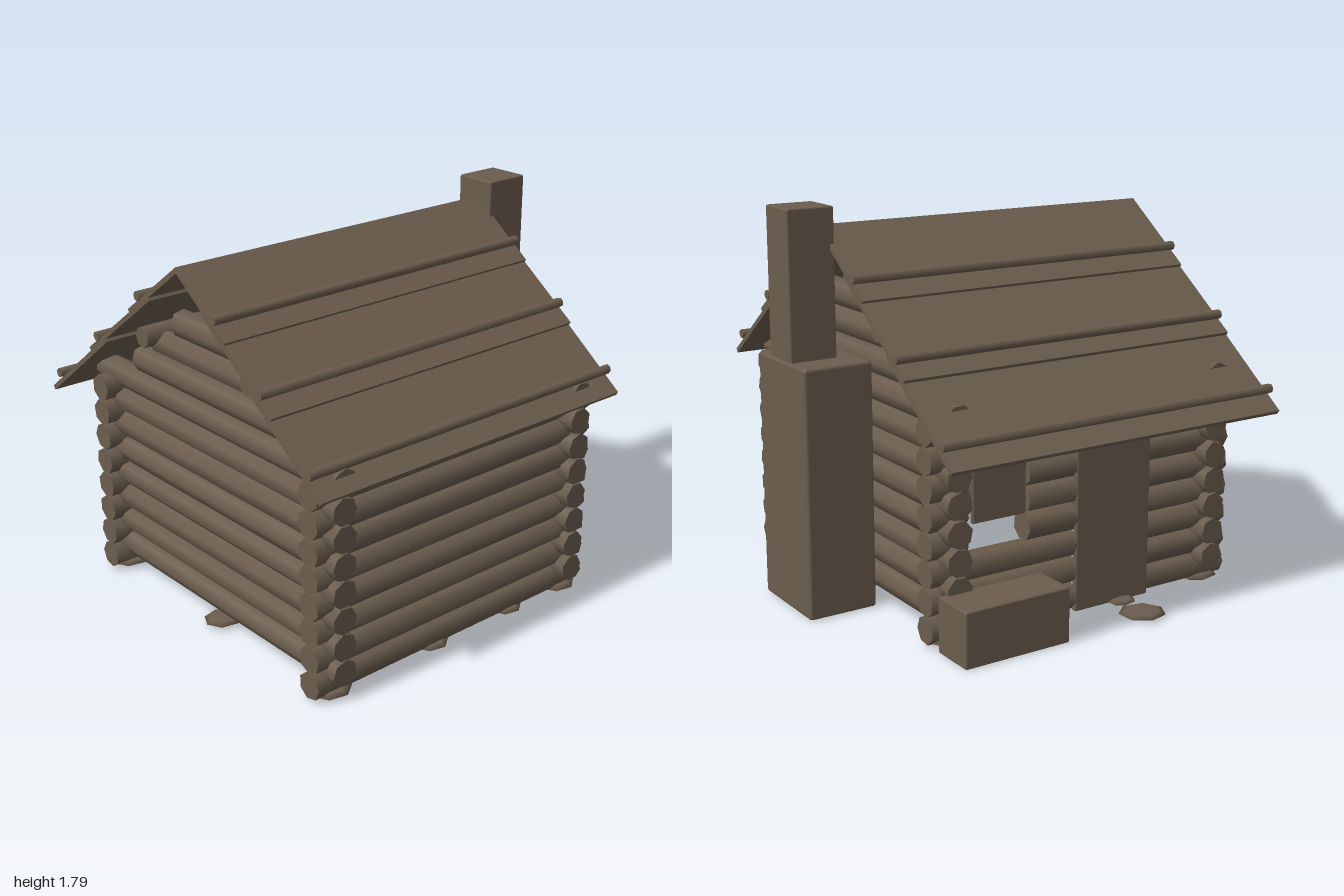
import * as THREE from 'three';
import { RoundedBoxGeometry } from 'three/addons/geometries/RoundedBoxGeometry.js';

export function createModel() {
  const model = new THREE.Group();
  const wood = new THREE.MeshStandardMaterial({ color: 0x6b5d4e });
  wood.name = 'weathered brown';

  const add = (name, geometry, x, y, z, parent = model) => {
    const mesh = new THREE.Mesh(geometry, wood);
    mesh.name = name;
    mesh.position.set(x, y, z);
    parent.add(mesh);
    return mesh;
  };
  const group = (name) => {
    const g = new THREE.Group();
    g.name = name;
    model.add(g);
    return g;
  };
  // box given by its limits on each axis
  const box = (name, x0, x1, y0, y1, z0, z1, bevel = 0.008) =>
    add(name, new RoundedBoxGeometry(x1 - x0, y1 - y0, z1 - z0, 1, bevel),
      (x0 + x1) / 2, (y0 + y1) / 2, (z0 + z1) / 2);

  // seven-sided logs along x or z, each rolled a little differently
  let count = 0;
  const log = (name, axis, from, to, y, across, r, parent) => {
    const g = new THREE.CylinderGeometry(r, r, to - from, 7);
    g.rotateY(count++ * 1.3);
    const mid = (from + to) / 2;
    if (axis === 'x') {
      g.rotateZ(Math.PI / 2);
      return add(name, g, mid, y, across, parent);
    }
    g.rotateX(Math.PI / 2);
    return add(name, g, across, y, mid, parent);
  };

  const R = 0.063, STEP = 0.123;
  const LEFT = -0.8, RIGHT = 0.58, FRONT = 0.845, BACK = -0.655;
  const X0 = -0.91, X1 = 0.69, Z0 = -0.76, Z1 = 0.945;

  // walls: the back one is cut for a doorway and a window
  const walls = group('walls');
  for (let i = 0; i < 8; i++) {
    const y = 0.073 + i * STEP;
    log('frontLog', 'x', X0, X1, y, FRONT, R, walls);
    let spans = [[X0, X1]];
    if (i < 6) spans = [[X0, -0.44], [-0.06, X1]];
    if (i >= 3 && i < 6) spans = [[X0, -0.44], [-0.06, 0.2], [0.51, X1]];
    for (const [a, b] of spans) log('backLog', 'x', a, b, y, BACK, R, walls);
    for (const x of [LEFT, RIGHT]) log('sideLog', 'z', Z0, Z1, y + STEP / 2, x, R, walls);
  }

  // stepped gable logs and the two purlins they carry
  const gables = group('gables');
  for (const x of [LEFT, RIGHT]) {
    [[-0.45, 0.635], [-0.285, 0.475], [-0.13, 0.315]].forEach(([a, b], i) =>
      log('gableLog', 'z', a, b, 1.118 + i * 0.125, x, 0.062, gables));
  }
  for (const z of [0.47, -0.28]) log('purlin', 'x', X0, X1, 1.285, z, 0.048, gables);

  // roof: three overlapping boards per slope, each held down by a pole
  const roof = group('roof');
  const RIDGE_Z = 0.085, RIDGE_Y = 1.695, PITCH = 0.792;
  const slope = (z) => RIDGE_Y - Math.abs(z - RIDGE_Z) * PITCH;
  const board = (zTop, zLow, first, last) => {
    const lift = 0.013;
    const yTop = slope(zTop) - (first ? 0 : lift);
    const yLow = slope(zLow) + (last ? 0 : lift);
    const dz = zLow - zTop, dy = yLow - yTop;
    const m = add('roofBoard', new THREE.BoxGeometry(1.725, 0.022, Math.hypot(dz, dy)),
      -0.103, (yTop + yLow) / 2, (zTop + zLow) / 2, roof);
    m.rotation.x = -Math.atan2(dy, dz) + (dz < 0 ? Math.PI : 0);
  };
  const slopes = [
    { tops: [0.08, 0.27, 0.56], lows: [0.405, 0.695, 0.995], poles: [0.335, 0.625, 0.925] },
    { tops: [0.09, -0.13, -0.485], lows: [-0.285, -0.625, -0.98], poles: [-0.21, -0.558, -0.913] },
  ];
  for (const { tops, lows, poles } of slopes) {
    tops.forEach((t, i) => board(t, lows[i], i === 0, i === 2));
    for (const z of poles) log('roofPole', 'x', -0.972, 0.765, slope(z) + 0.042, z, 0.022, roof);
  }

  // chimney
  box('chimneyBase', 0.64, 0.97, 0, 1.13, -0.155, 0.292, 0.015);
  box('chimneyStack', 0.738, 0.96, 1.1, 1.79, -0.014, 0.19);

  // door, window shutter and bench box on the back
  box('door', -0.455, -0.05, 0.01, 0.8, -0.715, -0.685);
  box('shutter', 0.22, 0.49, 0.52, 0.77, -0.715, -0.69);
  box('benchBox', 0.155, 0.675, 0, 0.25, -0.95, -0.735);

  // flat footing stones and doorsteps: x, z, radius, height
  const stones = group('stones');
  [
    [LEFT, FRONT, 0.1, 0.04], [-0.23, FRONT, 0.09, 0.036], [0.24, FRONT, 0.085, 0.036],
    [RIGHT, FRONT, 0.1, 0.04], [LEFT, BACK, 0.1, 0.04], [RIGHT, BACK, 0.1, 0.04],
    [LEFT, 0.1, 0.09, 0.036], [RIGHT, 0.1, 0.09, 0.036],
    [-0.29, -0.885, 0.11, 0.03], [-0.3, -0.72, 0.07, 0.03],
  ].forEach(([x, z, r, h], i) => {
    const g = new THREE.SphereGeometry(1, 7, 4).rotateY(i * 0.9);
    g.scale(r, h / 2, r * 0.93);
    add('stone', g, x, h / 2, z, stones);
  });

  return model;
}
